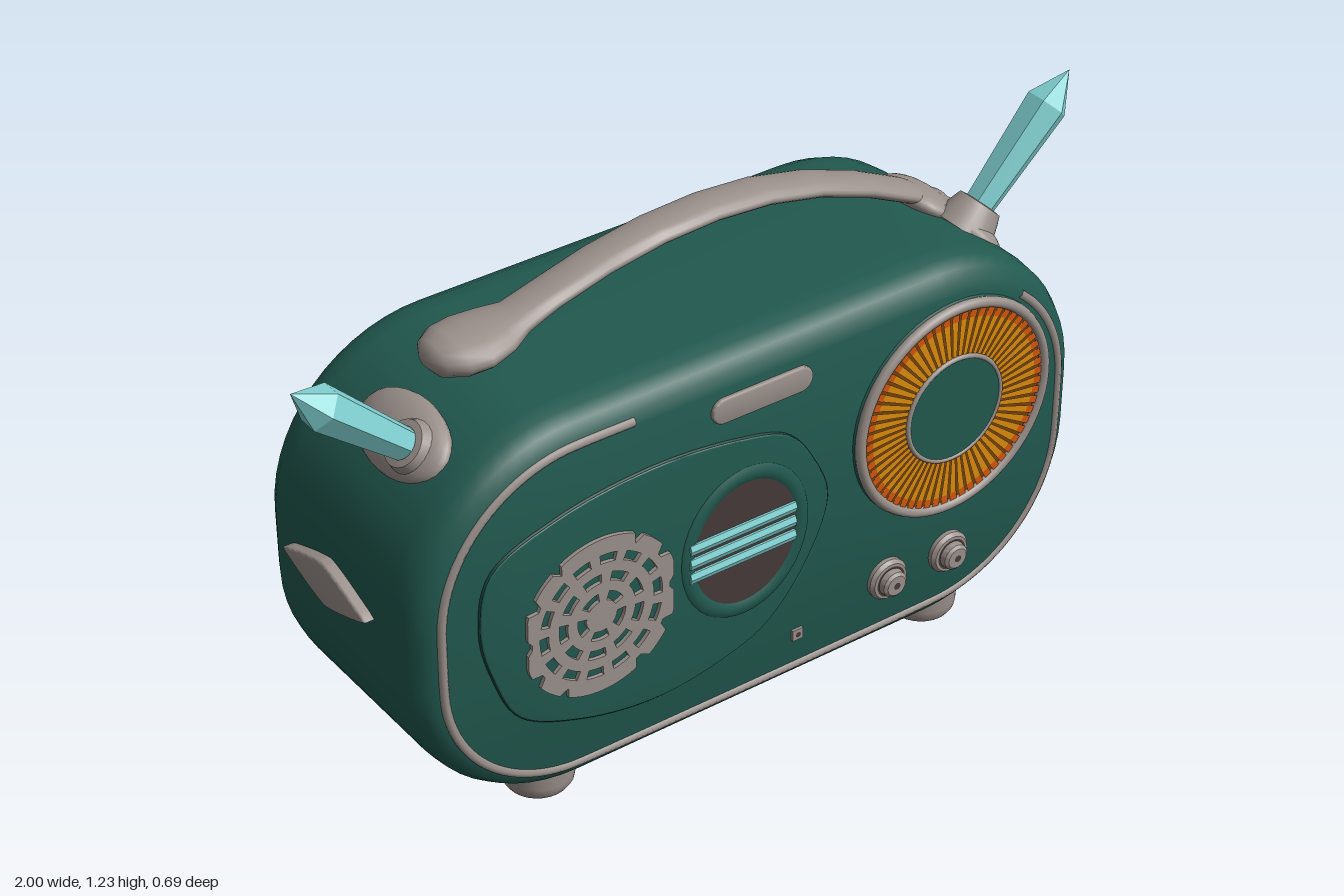
import * as THREE from 'three';
import { mergeGeometries, toCreasedNormals } from 'three/addons/utils/BufferGeometryUtils.js';

const V3 = (x, y, z) => new THREE.Vector3(x, y, z);
const colour = (name, hex) => Object.assign(new THREE.MeshStandardMaterial({ color: hex }), { name });

// Rounded body outline, counter-clockwise from the right, pulled in by inset
const ARC = 14;
function outline(inset) {
  const pts = [], r = Math.max(0.4 - inset, 0.03), w = 0.88 - inset - r, h = 0.47 - inset - r;
  for (let c = 0; c < 4; c++) {
    const sx = c === 0 || c === 3 ? 1 : -1, sy = c < 2 ? 1 : -1;
    for (let i = 0; i <= ARC; i++) {
      const a = (c + i / ARC) * Math.PI / 2;
      pts.push(new THREE.Vector2(0.01 + sx * w + r * Math.cos(a), 0.53 + sy * h + r * Math.sin(a)));
    }
  }
  return pts;
}

// Skin closed rings of points and cap both ends
function loft(rings, crease = 0.6) {
  const pos = [], idx = [], n = rings[0].length;
  rings.forEach(r => r.forEach(p => pos.push(p.x, p.y, p.z)));
  for (let i = 0; i < rings.length - 1; i++) {
    for (let j = 0; j < n; j++) {
      const a = i * n + j, b = i * n + (j + 1) % n;
      idx.push(a, b, b + n, a, b + n, a + n);
    }
  }
  [0, rings.length - 1].forEach((k, end) => {
    const c = rings[k].reduce((s, p) => s.add(p), V3(0, 0, 0)).divideScalar(n);
    const ci = pos.length / 3;
    pos.push(c.x, c.y, c.z);
    for (let j = 0; j < n; j++) {
      const a = k * n + j, b = k * n + (j + 1) % n;
      if (end) idx.push(ci, a, b); else idx.push(ci, b, a);
    }
  });
  const g = new THREE.BufferGeometry();
  g.setAttribute('position', new THREE.Float32BufferAttribute(pos, 3));
  g.setIndex(idx);
  return toCreasedNormals(g, crease);
}

const extrude = (shape, depth, bevel = 0) => toCreasedNormals(new THREE.ExtrudeGeometry(shape, {
  depth, curveSegments: 24, bevelEnabled: bevel > 0, bevelSize: bevel, bevelThickness: bevel, bevelSegments: 3,
}), 0.6);

// Lathe about y from [radius, height] pairs
const lathe = (pts, sides, crease) =>
  toCreasedNormals(new THREE.LatheGeometry(pts.map(p => new THREE.Vector2(...p)), sides), crease);

export function createModel() {
  const green = colour('bodyGreen', 0x21594f), darkGreen = colour('seamGreen', 0x143f39);
  const grey = colour('warmGrey', 0x9a908b), brown = colour('darkBrown', 0x453a39);
  const cyan = colour('crystalCyan', 0x80cfd0), amber = colour('amber', 0xdc8c0c);
  const orange = colour('orange', 0xd4560e), rust = colour('rust', 0x74420c);

  const model = new THREE.Group();
  const add = (name, geo, mat, x = 0, y = 0, z = 0) => {
    const m = new THREE.Mesh(geo, mat);
    m.name = name;
    m.position.set(x, y, z);
    model.add(m);
    return m;
  };

  // Body: [z, inset] from back to front
  const sections = [[-0.343, 0.3], [-0.338, 0.12], [-0.33, 0.08], [-0.315, 0.047], [-0.29, 0.02], [-0.26, 0.005],
    [-0.22, 0], [0.21, 0], [0.25, 0.005], [0.28, 0.02], [0.297, 0.042], [0.305, 0.07]];
  add('body', loft(sections.map(([z, s]) => outline(s).map(p => V3(p.x, p.y, z)))), green);

  // Back trim ring
  const ring = new THREE.Shape(outline(0.075));
  ring.holes.push(new THREE.Path(outline(0.108)));
  add('backTrim', extrude(ring, 0.016), grey, 0, 0, -0.343);

  // Front trim, open along the top
  const o = outline(0.06);
  const trim = [new THREE.Vector2(-0.33, 0.94), ...o.slice(ARC + 1), ...o.slice(0, ARC / 2 + 2)];
  add('frontTrim', new THREE.TubeGeometry(new THREE.CatmullRomCurve3(trim.map(p => V3(p.x, p.y, 0.3))), 160, 0.011, 6), grey);

  // Raised front panel with its seam
  const edge = new THREE.CatmullRomCurve3([[-0.72, 0.58], [-0.69, 0.71], [-0.53, 0.78], [-0.29, 0.81], [-0.07, 0.79], [0.06, 0.75],
    [0.13, 0.66], [0.17, 0.55], [0.12, 0.41], [0.01, 0.28], [-0.12, 0.23], [-0.29, 0.21], [-0.48, 0.245], [-0.63, 0.32], [-0.69, 0.44]]
    .map(([x, y]) => V3(x, y, 0.306)), true);
  add('frontPanel', extrude(new THREE.Shape(edge.getPoints(90).map(p => new THREE.Vector2(p.x, p.y))), 0.006, 0.003), green, 0, 0, 0.304);
  add('panelSeam', new THREE.TubeGeometry(edge, 120, 0.006, 6, true), darkGreen);

  // Speaker grille with rings of curved slots
  const disc = new THREE.Shape();
  for (let i = 0; i < 96; i++) {
    const a = i / 96 * Math.PI * 2;
    const r = i % 8 < 2 && Math.abs(Math.cos(a)) > 0.5 ? 0.175 : 0.197;
    disc[i ? 'lineTo' : 'moveTo'](Math.max(-0.185, Math.min(0.185, r * Math.cos(a))), r * Math.sin(a));
  }
  disc.closePath();
  for (const [r, n] of [[0.145, 14], [0.097, 9], [0.05, 5]]) {
    for (let i = 0; i < n; i++) {
      const a = i / n * Math.PI * 2 + r * 9, b = a + Math.PI * 1.25 / n;
      const slot = new THREE.Path();
      slot.absarc(0, 0, r + 0.011, a, b, false);
      slot.absarc(0, 0, r - 0.011, b, a, true);
      slot.closePath();
      disc.holes.push(slot);
    }
  }
  add('speakerGrille', toCreasedNormals(new THREE.ExtrudeGeometry(disc, { depth: 0.012, bevelEnabled: false, curveSegments: 4 }), 0.5),
    grey, -0.43, 0.5, 0.31);

  // Oval window with lip and crystal bars
  const oval = new THREE.CircleGeometry(1, 40);
  add('window', oval, brown, -0.05, 0.525, 0.315).scale.set(0.135, 0.163, 1);
  add('windowLip', new THREE.TorusGeometry(0.16, 0.022, 8, 40), green, -0.05, 0.525, 0.308).scale.set(0.95, 1.08, 0.5);
  for (const y of [0.565, 0.528, 0.491]) {
    const bar = add('windowBar', toCreasedNormals(new THREE.CylinderGeometry(0.015, 0.015, 0.28, 6), 0.3), cyan, -0.06, y, 0.315);
    bar.rotation.z = Math.PI / 2;
    bar.scale.z = 0.7;
  }

  // Dial: housing, radial fins, rings and hub
  const dx = 0.515, dy = 0.645;
  add('dialHousing', toCreasedNormals(new THREE.CylinderGeometry(0.268, 0.282, 0.03, 48), 0.6), green, dx, dy, 0.299).rotation.x = Math.PI / 2;
  const fins = (r0, r1, fill, n = 60) => mergeGeometries(Array.from({ length: n }, (_, i) =>
    new THREE.RingGeometry(r0, r1, 1, 1, i / n * Math.PI * 2, fill / n * Math.PI * 2)));
  add('dialBase', new THREE.RingGeometry(0.12, 0.252, 60), rust, dx, dy, 0.3155);
  add('dialFins', fins(0.125, 0.24, 0.72), amber, dx, dy, 0.319);
  add('dialFinTips', fins(0.228, 0.248, 0.72), orange, dx, dy, 0.321);
  add('dialBezel', new THREE.TorusGeometry(0.259, 0.013, 8, 60), grey, dx, dy, 0.316);
  add('dialHubRing', new THREE.TorusGeometry(0.13, 0.006, 8, 48), grey, dx, dy, 0.319);
  add('dialHub', new THREE.CircleGeometry(0.128, 48), green, dx, dy, 0.322);

  // Pill plate, knobs and small square button
  const pill = new THREE.Shape();
  pill.absarc(0.1, 0, 0.026, -Math.PI / 2, Math.PI / 2, false);
  pill.absarc(-0.1, 0, 0.026, Math.PI / 2, Math.PI * 1.5, false);
  pill.closePath();
  add('pillPlate', extrude(pill, 0.008, 0.005), grey, -0.007, 0.882, 0.302);
  const knob = lathe([[0.052, 0], [0.052, 0.015], [0.045, 0.024], [0.034, 0.024], [0.032, 0.04], [0.025, 0.046], [0, 0.046]], 28, 0.6);
  for (const x of [0.35, 0.525]) {
    add('knob', knob, grey, x, 0.248, 0.3).rotation.x = Math.PI / 2;
    add('knobGroove', new THREE.RingGeometry(0.033, 0.039, 28), brown, x, 0.248, 0.3255);
    add('knobDot', new THREE.CircleGeometry(0.009, 12), brown, x, 0.248, 0.3475);
  }
  add('smallButton', new THREE.BoxGeometry(0.028, 0.028, 0.012), grey, 0.1, 0.204, 0.306);
  add('smallButtonDot', new THREE.CircleGeometry(0.007, 10), brown, 0.1, 0.204, 0.313);

  // Feet
  const foot = lathe([[0, 0], [0.072, 0], [0.08, 0.012], [0.083, 0.03], [0.083, 0.09]], 28, 0.7);
  for (const x of [-0.505, 0.565]) for (const z of [0.175, -0.22]) add('foot', foot, grey, x, 0, z);

  // Handle: [x, y, half height, half width]
  const path = [[-0.628, 1.035, 0.015, 0.025], [-0.61, 1.035, 0.036, 0.06], [-0.57, 1.037, 0.042, 0.088], [-0.52, 1.04, 0.04, 0.096],
    [-0.46, 1.048, 0.034, 0.082], [-0.41, 1.06, 0.026, 0.058], [-0.33, 1.087, 0.023, 0.054], [-0.2, 1.122, 0.023, 0.054],
    [-0.06, 1.145, 0.023, 0.054], [0.08, 1.152, 0.023, 0.054], [0.22, 1.142, 0.023, 0.054], [0.36, 1.112, 0.023, 0.054],
    [0.5, 1.062, 0.023, 0.054], [0.62, 1.005, 0.023, 0.054], [0.72, 0.945, 0.023, 0.05]];
  add('handle', loft(path.map(([x, y, h, w], i) => {
    const p = path[Math.max(i - 1, 0)], q = path[Math.min(i + 1, path.length - 1)];
    const t = Math.atan2(q[1] - p[1], q[0] - p[0]);
    return Array.from({ length: 20 }, (_, k) => {
      const a = k / 20 * Math.PI * 2, u = h * Math.cos(a);
      return V3(x - u * Math.sin(t), y + u * Math.cos(t), -0.012 + w * Math.sin(a));
    });
  }), 1), grey);

  // Crystal horns with flared mounts
  const horn = (side, base, tip) => {
    const dir = tip.clone().sub(base), len = dir.length();
    const turn = new THREE.Quaternion().setFromUnitVectors(V3(0, 1, 0), dir.normalize());
    add('crystal', lathe([[0, 0], [0.036, 0], [0.051, len * 0.76], [0, len]], 6, 0.2), cyan, ...base).quaternion.copy(turn);
    add('crystalCollar', lathe([[0.075, -0.05], [0.06, 0], [0.052, 0.022], [0.036, 0.024]], 24, 0.8), grey, ...base).quaternion.copy(turn);
    const mount = add('crystalMount', new THREE.SphereGeometry(1, 28, 16), grey, side > 0 ? 0.725 : -0.715, 0.912, 0.035);
    mount.scale.set(0.088, 0.042, 0.15);
    mount.rotation.z = -side * 0.8;
  };
  horn(1, V3(0.745, 0.955, 0.09), V3(1, 1.23, 0.09));
  horn(-1, V3(-0.735, 0.925, 0.09), V3(-1, 1.157, 0.09));
  const clamp = add('handleClamp', new THREE.SphereGeometry(1, 24, 14), grey, 0.67, 0.965, -0.02);
  clamp.scale.set(0.075, 0.035, 0.1);
  clamp.rotation.z = -0.55;

  // Side diamonds
  const diamond = new THREE.Shape();
  diamond.moveTo(0.155, 0);
  diamond.quadraticCurveTo(0.05, 0.042, 0, 0.05);
  diamond.quadraticCurveTo(-0.05, 0.042, -0.155, 0);
  diamond.quadraticCurveTo(-0.05, -0.042, 0, -0.05);
  diamond.quadraticCurveTo(0.05, -0.042, 0.155, 0);
  const plate = extrude(diamond, 0.04, 0.006);
  add('rightDiamond', plate, grey, 0.87, 0.58, -0.025).rotation.y = Math.PI / 2;
  add('leftDiamond', plate, grey, -0.849, 0.575, -0.025).rotation.y = -Math.PI / 2;

  // Round side vent with slats
  const vy = 0.355, vz = -0.027;
  add('ventBack', new THREE.CylinderGeometry(0.076, 0.076, 0.1, 36), brown, 0.84, vy, vz).rotation.z = -Math.PI / 2;
  const rim = lathe([[0.086, -0.11], [0.086, -0.008], [0.08, 0], [0.072, 0], [0.068, -0.01]], 36, 0.6);
  add('ventRim', rim, grey, 0.902, vy, vz).rotation.z = -Math.PI / 2;
  for (let i = -3; i <= 3; i++) {
    const y = i * 0.0185;
    add('ventSlat', new THREE.BoxGeometry(0.014, 0.011, 2 * Math.sqrt(0.071 ** 2 - y * y)), grey, 0.89, vy + y, vz);
  }
  return model;
}
